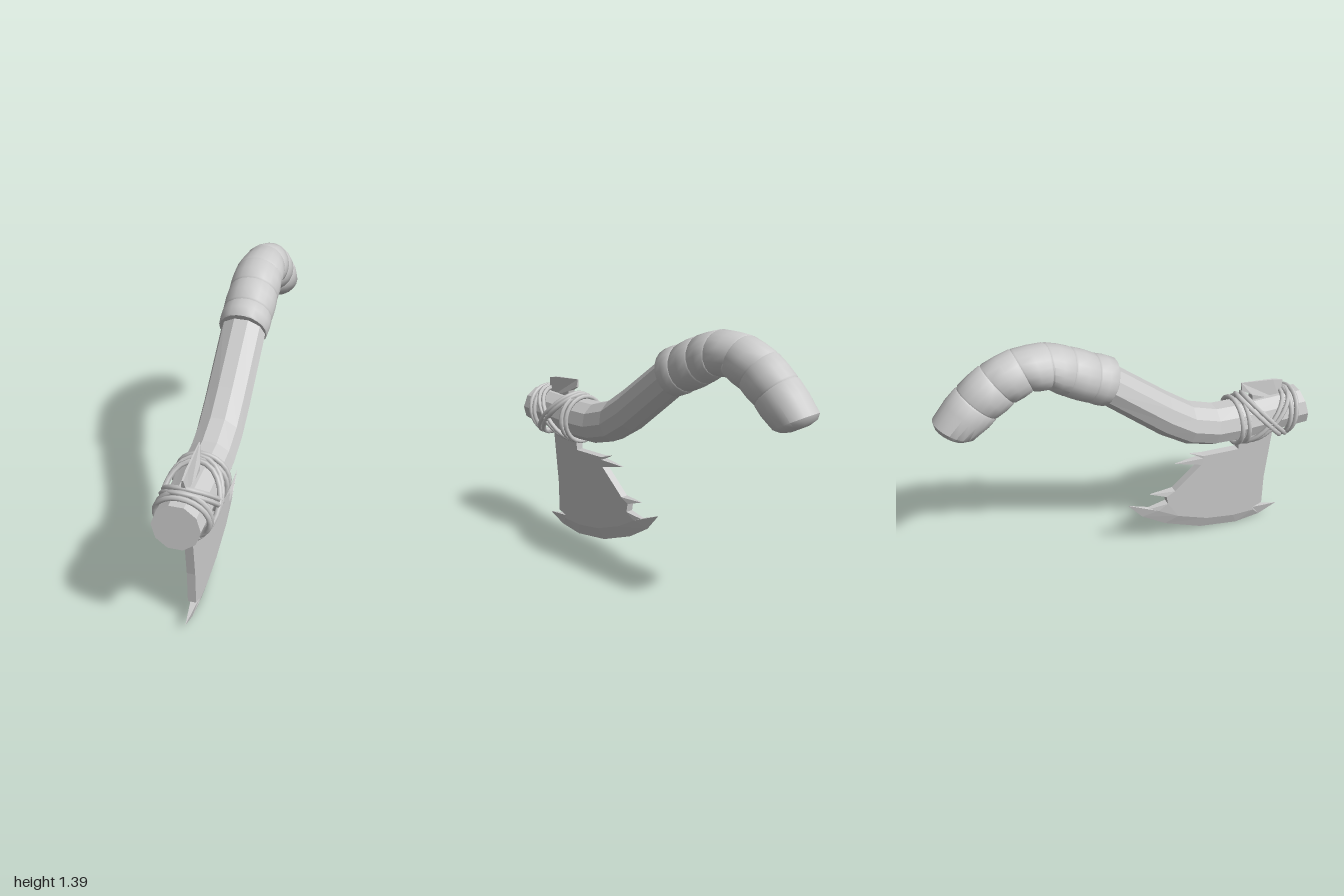
import * as THREE from 'three';
import { mergeGeometries, toCreasedNormals } from 'three/addons/utils/BufferGeometryUtils.js';

const CX = -0.01; // centre plane of the whole axe

function buildGeometry(positions, index) {
  const g = new THREE.BufferGeometry();
  g.setAttribute('position', new THREE.Float32BufferAttribute(positions, 3));
  g.setIndex(index);
  return g;
}

// Closed sweep through rings [topZ, topY, bottomZ, bottomY, halfWidth]
function sweep(rings, sides) {
  const pos = [], idx = [];
  for (const [zt, yt, zb, yb, rx] of rings) {
    for (let j = 0; j < sides; j++) {
      const a = Math.PI / 2 + ((j + 0.5) / sides) * Math.PI * 2;
      const s = Math.sin(a) / Math.cos(Math.PI / sides) / 2;
      pos.push(CX + Math.cos(a) * rx, (yt + yb) / 2 + (yt - yb) * s, (zt + zb) / 2 + (zt - zb) * s);
    }
  }
  const last = (rings.length - 1) * sides;
  for (let i = 0; i < last; i += sides) {
    for (let j = 0; j < sides; j++) {
      const k = (j + 1) % sides;
      idx.push(i + j, i + sides + j, i + sides + k, i + j, i + sides + k, i + k);
    }
  }
  for (let j = 1; j < sides - 1; j++) {
    idx.push(0, j, j + 1, last, last + j + 1, last + j);
  }
  return buildGeometry(pos, idx);
}

// Flat plate in the z-y plane from points [z, y, halfThickness]
function plate(points) {
  let pts = points.map(([z, y, h = 0.021]) => ({ v: new THREE.Vector2(-z, y), h }));
  if (THREE.ShapeUtils.isClockWise(pts.map(p => p.v))) pts = pts.reverse();
  const n = pts.length, pos = [], idx = [];
  for (const side of [1, -1]) {
    for (const { v, h } of pts) pos.push(CX + side * h, v.y, -v.x);
  }
  for (const [a, b, c] of THREE.ShapeUtils.triangulateShape(pts.map(p => p.v), [])) {
    idx.push(a, b, c, n + c, n + b, n + a);
  }
  for (let p = 0; p < n; p++) {
    const q = (p + 1) % n;
    idx.push(n + p, n + q, q, n + p, q, p);
  }
  return buildGeometry(pos, idx);
}

// Rope loop round the shaft; slope leans it along z
function ropeLoop(z, slope, radius = 0.128) {
  const pts = [];
  for (let i = 0; i < 12; i++) {
    const a = (i / 12) * Math.PI * 2;
    const y = Math.sin(a) * radius;
    pts.push(new THREE.Vector3(CX + Math.cos(a) * radius, 0.725 + y, z + slope * y));
  }
  return new THREE.TubeGeometry(new THREE.CatmullRomCurve3(pts, true), 24, 0.013, 6, true);
}

export function createModel() {
  const group = new THREE.Group();
  const smooth = new THREE.MeshStandardMaterial({ color: 0xcccccc });
  const faceted = new THREE.MeshStandardMaterial({ color: 0xcccccc, flatShading: true });
  const add = (name, geometry, material) => {
    if (!geometry.attributes.normal) geometry.computeVertexNormals();
    const mesh = new THREE.Mesh(geometry, material);
    mesh.name = name;
    group.add(mesh);
  };

  // Ten-sided wooden shaft with its bend
  add('shaft', sweep([
    [0.965, 0.84, 1.0, 0.63, 0.115],
    [0.58, 0.835, 0.58, 0.615, 0.115],
    [0.465, 0.84, 0.44, 0.625, 0.115],
    [0.33, 0.885, 0.29, 0.67, 0.115],
    [0.195, 0.98, 0.14, 0.765, 0.115],
    [-0.09, 1.2, -0.18, 1.03, 0.115],
    [-0.18, 1.26, -0.25, 1.07, 0.11],
  ], 10), faceted);

  // Grip wrapping: overlapping bulged bands along the curved end
  const bands = [
    [-0.08, 1.235, -0.18, 1.015, 0.125],
    [-0.18, 1.28, -0.26, 1.055, 0.128],
    [-0.3, 1.34, -0.38, 1.12, 0.128],
    [-0.43, 1.388, -0.45, 1.172, 0.126],
    [-0.6, 1.388, -0.52, 1.178, 0.113],
    [-0.75, 1.335, -0.61, 1.135, 0.11],
    [-0.87, 1.245, -0.7, 1.075, 0.113],
    [-0.985, 1.125, -0.785, 1.003, 0.114],
  ];
  const mix = (a, b, t, k) => {
    const [zt, yt, zb, yb, rx] = a.map((v, i) => v + (b[i] - v) * t);
    const z = (zt + zb) / 2, y = (yt + yb) / 2;
    return [z + (zt - z) * k, y + (yt - y) * k, z + (zb - z) * k, y + (yb - y) * k, rx * k];
  };
  const profile = [[0, 0.96], [0.06, 1.005], [0.5, 1.025], [0.94, 1], [1, 0.96]];
  for (let i = 0; i < bands.length - 1; i++) {
    const isTip = i === bands.length - 2;
    const rings = profile.slice(0, isTip ? 3 : 5).map(([t, k]) => mix(bands[i], bands[i + 1], t, k));
    if (isTip) {
      // Rounded butt of the grip
      rings.push([-0.998, 1.1, -0.81, 0.993, 0.112], [-0.993, 1.07, -0.85, 0.988, 0.09],
        [-0.965, 1.04, -0.89, 0.997, 0.05]);
    }
    add('gripBand' + (i + 1), toCreasedNormals(sweep(rings, 20), 0.75), smooth);
  }

  // Cutting edge: pairs of inner (thick) and outer (sharp) points
  const edge = [
    [[0.745, 0.095], [0.91, 0.065, 0]],
    [[0.75, 0.075], [0.8, 0.018, 0]],
    [[0.62, 0.075], [0.65, 0.002, 0]],
    [[0.45, 0.105], [0.42, 0.04, 0]],
    [[0.27, 0.175], [0.2, 0.13, 0]],
    [[0.15, 0.245, 0.018], [0.06, 0.22, 0]],
    [[0.1, 0.268, 0.01], [-0.025, 0.32, 0]],
  ];
  // Blade body: runs through the shaft, with broken spikes on the back edge
  const body = plate([
    [0.87, 0.91, 0.004], [0.81, 0.925, 0.006], [0.62, 0.945, 0.002], [0.625, 0.9, 0.008],
    [0.68, 0.87], [0.69, 0.8], [0.63, 0.7], [0.62, 0.535],
    [0.41, 0.545], [0.335, 0.57, 0.003], [0.41, 0.53], [0.25, 0.525, 0.003], [0.4, 0.49],
    [0.29, 0.395], [0.245, 0.355], [0.105, 0.36, 0.003], [0.195, 0.33], [0.205, 0.28],
    ...edge.map(([inner]) => inner).reverse(),
    [0.8, 0.115], [0.8, 0.3], [0.83, 0.64], [0.85, 0.8],
  ]);
  const bevels = edge.slice(1).map(([inner, outer], i) => plate([edge[i][0], edge[i][1], outer, inner]));
  add('blade', mergeGeometries([body, ...bevels]), faceted);

  // Rope binding: upright loops at both ends and doubled crossing loops
  const loops = [
    [0.62, 0], [0.58, 0], [0.895, 0.2], [0.865, 0.14],
    [0.735, 0.92, 0.132], [0.77, 0.92, 0.132], [0.735, -0.92, 0.135], [0.77, -0.92, 0.135],
  ];
  add('ropeBinding', mergeGeometries(loops.map(l => ropeLoop(...l))), smooth);

  return group;
}
